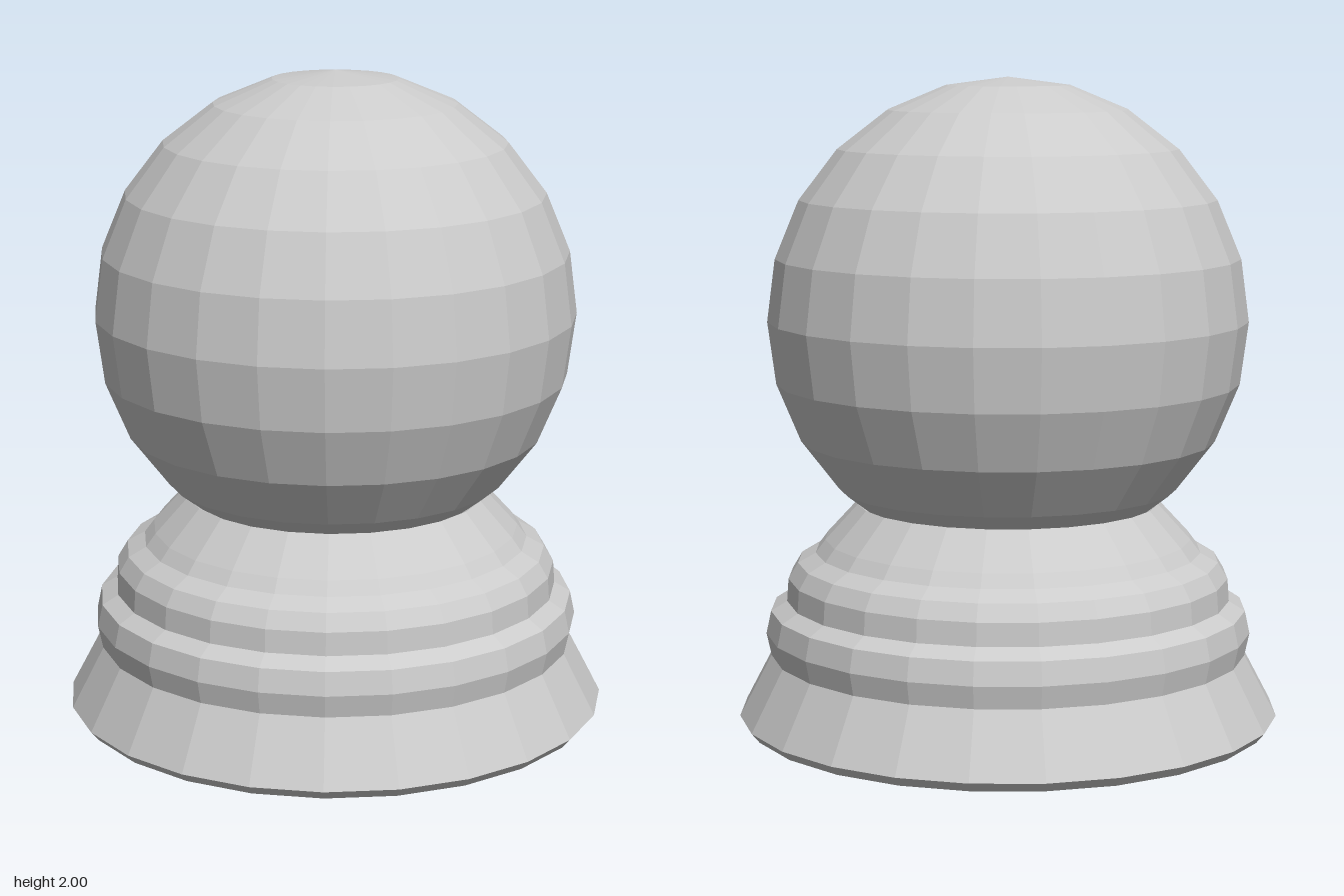
import * as THREE from 'three';

const SEGMENTS = 24;

export function createModel() {
  const group = new THREE.Group();
  const material = new THREE.MeshStandardMaterial({
    color: 0xcccccc, flatShading: true, side: THREE.DoubleSide,
  });

  // Faceted ball resting in the mouth of the base
  const globe = new THREE.Mesh(new THREE.SphereGeometry(0.74, SEGMENTS, 12), material);
  globe.name = 'globe';
  globe.position.y = 1.26;
  group.add(globe);

  // Hollow stepped base: outer wall from the foot up to the neck
  const outer = [
    [0.815, 0], [0.84, 0.03], [0.74, 0.22], [0.755, 0.29], [0.74, 0.36], [0.69, 0.39],
    [0.685, 0.46], [0.655, 0.51], [0.6, 0.54], [0.57, 0.58], [0.468, 0.69],
  ];
  // Inner wall follows the outer one, leaving a thin shell open below
  const inner = outer.slice(1).reverse().map(([r, y]) => [r - 0.025, y - 0.012]);
  const profile = [...outer, ...inner, outer[0]].map(([r, y]) => new THREE.Vector2(r, y));
  const base = new THREE.Mesh(new THREE.LatheGeometry(profile, SEGMENTS), material);
  base.name = 'base';
  group.add(base);

  return group;
}
